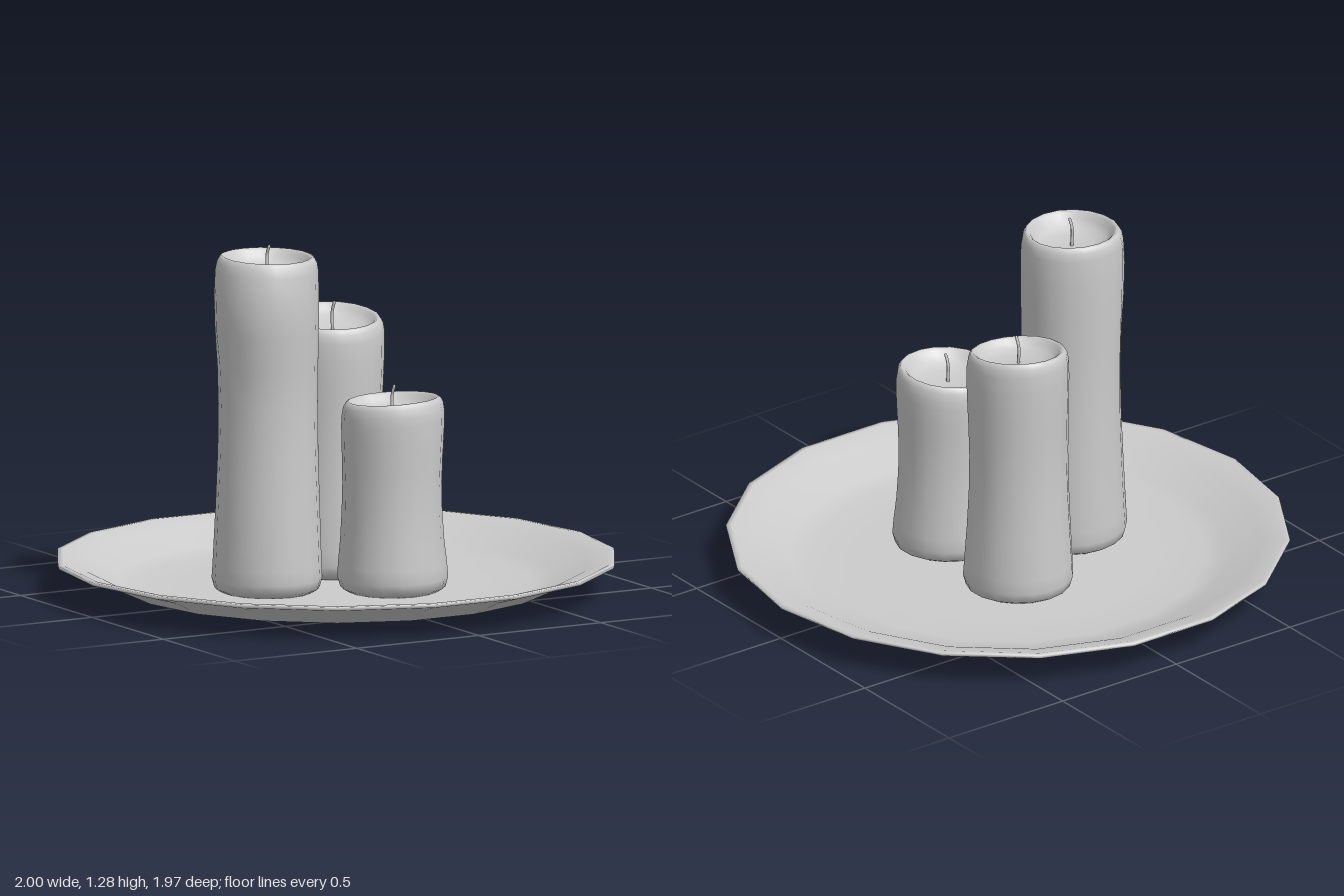
import * as THREE from 'three';
import { mergeVertices } from 'three/addons/utils/BufferGeometryUtils.js';

const SIDES = 18;
const FLOOR = 0.03;

const material = new THREE.MeshStandardMaterial({ color: 0xcccccc });

function lathe(profile, phiStart = 0) {
  const points = profile.map(([r, y]) => new THREE.Vector2(r, y));
  return new THREE.LatheGeometry(points, SIDES, phiStart);
}

// Weld the seam and rebuild smooth normals after moving vertices
function smooth(geometry) {
  geometry.deleteAttribute('uv');
  geometry.deleteAttribute('normal');
  const welded = mergeVertices(geometry, 1e-4);
  welded.computeVertexNormals();
  return welded;
}

function named(name, geometry) {
  const mesh = new THREE.Mesh(geometry, material);
  mesh.name = name;
  return mesh;
}

// Shallow dish with a sloping rim, one closed profile from underside to top
function createPlate() {
  return named('plate', lathe([
    [0, 0], [0.54, 0.004], [0.7, 0.014], [0.76, 0.025], [0.88, 0.08],
    [0.995, 0.112], [1, 0.125], [0.98, 0.126], [0.9, 0.104],
    [0.78, 0.05], [0.7, 0.035], [0.54, FLOOR], [0, FLOOR],
  ], Math.PI / 2));
}

// Wax pillar: flared foot, rounded lip and a melted hollow, then tilted and bulged
function createCandle({ name, x, z, top, tiltX, tiltZ, wickTop, depth, bulge }) {
  const h = top - FLOOR;
  const geometry = lathe([
    [0, FLOOR], [0.16, FLOOR], [0.186, FLOOR + 0.015], [0.196, FLOOR + 0.05],
    [0.193, FLOOR + 0.1], [0.184, FLOOR + 0.27 * h], [0.178, FLOOR + 0.42 * h],
    [0.176, FLOOR + 0.56 * h], [0.178, FLOOR + 0.68 * h], [0.181, FLOOR + 0.78 * h],
    [0.183, FLOOR + 0.88 * h], [0.182, top - 0.05], [0.177, top - 0.02],
    [0.168, top - 0.004], [0.16, top], [0.15, top - 0.008],
    [0.14, top - 0.4 * depth], [0.12, top - 0.75 * depth],
    [0.08, top - 0.95 * depth], [0, top - depth],
  ]);

  const p = geometry.attributes.position;
  for (let i = 0; i < p.count; i++) {
    const px = p.getX(i), py = p.getY(i), pz = p.getZ(i);
    const angle = Math.atan2(pz, px);
    const r = Math.hypot(px, pz);
    const t = (py - FLOOR) / h;
    // Uneven wax plus a swelling high on the front-right side
    const wobble = 1 + 0.012 * Math.sin(3 * angle + 5 * t + x * 9);
    const facing = Math.max(0, Math.cos(angle - 0.75 * Math.PI));
    const swell = bulge * facing * THREE.MathUtils.smoothstep(t, 0.62, 0.8)
      * (1 - THREE.MathUtils.smoothstep(t, 0.9, 0.99)) * (r / 0.18);
    const s = wobble + swell / 0.18;
    const lift = (tiltX * px + tiltZ * pz) * THREE.MathUtils.smoothstep(py, top - 0.3, top - 0.07);
    p.setXYZ(i, px * s, py + lift, pz * s);
  }

  // Thin wick with a slight bend
  const curve = new THREE.CatmullRomCurve3([
    new THREE.Vector3(0, top - depth - 0.01, 0),
    new THREE.Vector3(0, (top + wickTop) / 2 - 0.01, -0.003),
    new THREE.Vector3(0.002, wickTop, 0.008),
  ]);
  const wick = named('wick', new THREE.TubeGeometry(curve, 6, 0.006, 6));
  const wickTip = named('wickTip', new THREE.SphereGeometry(0.006, 6, 4));
  wickTip.position.set(0.002, wickTop, 0.008);

  const candle = new THREE.Group();
  candle.name = name;
  candle.add(named('wax', smooth(geometry)), wick, wickTip);
  candle.position.set(x, 0, z);
  return candle;
}

export function createModel() {
  const model = new THREE.Group();
  model.name = 'candlesOnPlate';
  model.add(createPlate());

  const candles = [
    { name: 'tallCandle', x: -0.285, z: 0.007, top: 1.235, tiltX: -0.01, tiltZ: -0.02, wickTop: 1.27, depth: 0.065, bulge: 0.022 },
    { name: 'middleCandle', x: 0.103, z: -0.2, top: 0.952, tiltX: 0.05, tiltZ: -0.13, wickTop: 1.0, depth: 0.05, bulge: 0 },
    { name: 'shortCandle', x: 0.103, z: 0.22, top: 0.72, tiltX: 0.04, tiltZ: 0.05, wickTop: 0.765, depth: 0.055, bulge: 0 },
  ];
  candles.forEach((c) => model.add(createCandle(c)));
  return model;
}
